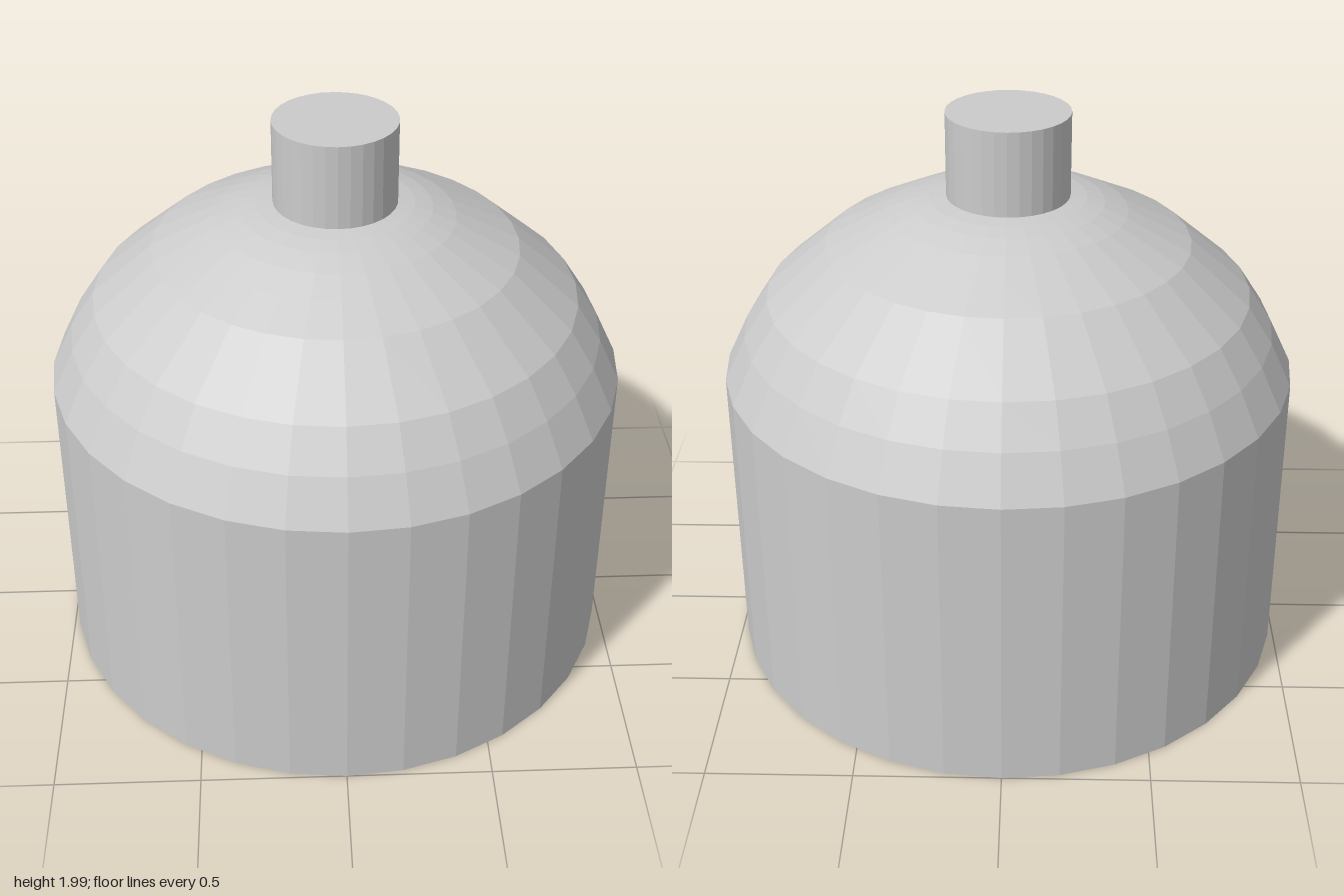
import * as THREE from 'three';

export function createModel() {
  const model = new THREE.Group();
  const material = new THREE.MeshStandardMaterial({ color: 0xcccccc, flatShading: true });
  const sides = 32;

  const add = (name, geometry, y = 0) => {
    const mesh = new THREE.Mesh(geometry, material);
    mesh.name = name;
    mesh.position.y = y;
    model.add(mesh);
  };

  // Straight-walled tank with flat base and faceted domed shoulder
  const profile = [
    [0, 0], [1, 0], [1, 1.07], [0.925, 1.225], [0.84, 1.355], [0.63, 1.535],
    [0.5, 1.6], [0.41, 1.645], [0.33, 1.675], [0.27, 1.69], [0.2, 1.7], [0, 1.7],
  ].map(([r, y]) => new THREE.Vector2(r, y));
  add('body', new THREE.LatheGeometry(profile, sides));

  // Short capped neck
  add('neck', new THREE.CylinderGeometry(0.212, 0.212, 0.3, sides), 1.842);

  return model;
}
